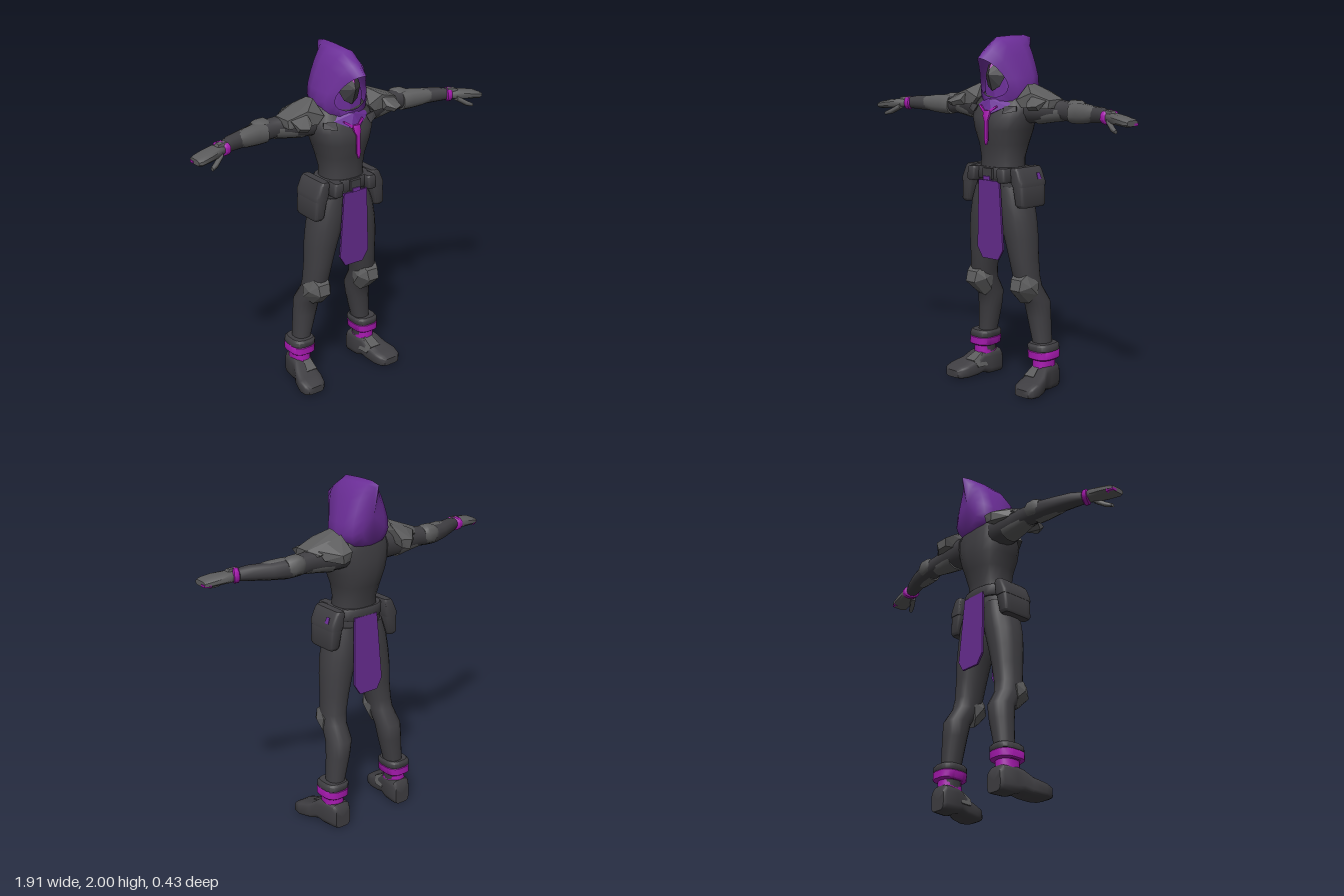
import * as THREE from 'three';
import { toCreasedNormals } from 'three/addons/utils/BufferGeometryUtils.js';
import { ConvexGeometry } from 'three/addons/geometries/ConvexGeometry.js';

const V = (x, y, z) => new THREE.Vector3(x, y, z);
const mat = (name, color, side = THREE.FrontSide) => {
  const m = new THREE.MeshStandardMaterial({ color, side });
  m.name = name;
  return m;
};

// Rounded-box or oval outline; p = 2 is an ellipse, larger is squarer
function outline(a, b, n, p) {
  return Array.from({ length: n }, (_, i) => {
    const t = ((i + 0.5) / n) * Math.PI * 2, c = Math.cos(t), s = Math.sin(t);
    return [a * Math.sign(c) * Math.abs(c) ** (2 / p), b * Math.sign(s) * Math.abs(s) ** (2 / p)];
  });
}
const ringY = (y, cx, cz, rx, rz, p = 2.3, n = 16) => outline(rx, rz, n, p).map(([a, b]) => V(cx + a, y, cz + b));
// The slant leans a ring across the arm
const ringX = (x, cy, cz, ry, rz, p = 2.3, slant = 0) => outline(ry, rz, 12, p).map(([a, b]) => V(x - b * slant, cy + a, cz + b));
const ringZ = (z, cx, cy, rx, ry, p = 4, n = 16) => outline(rx, ry, n, p).map(([a, b]) => V(cx + a, cy + b, z));

// Skin a row of rings, cap the ends and turn the faces outward
function loft(rings, s = 1, crease = 0.75, capStart = true) {
  const n = rings[0].length, pts = rings.flat().map((v) => V(v.x * s, v.y, v.z)), idx = [];
  for (let r = 0; r < rings.length - 1; r++) {
    for (let i = 0; i < n; i++) {
      const a = r * n + i, b = r * n + (i + 1) % n;
      idx.push(a, b, a + n, b, b + n, a + n);
    }
  }
  const cap = (start, flip) => {
    const c = pts.length, mid = V(0, 0, 0);
    for (let i = 0; i < n; i++) mid.addScaledVector(pts[start + i], 1 / n);
    pts.push(mid);
    for (let i = 0; i < n; i++) {
      const a = start + i, b = start + (i + 1) % n;
      if (flip) idx.push(b, a, c); else idx.push(a, b, c);
    }
  };
  const last = (rings.length - 1) * n;
  if (capStart) cap(0, true);
  cap(last, false);
  let volume = 0;
  const o = pts[last];
  for (let i = 0; i < idx.length; i += 3) {
    const [a, b, c] = [0, 1, 2].map((k) => pts[idx[i + k]].clone().sub(o));
    volume += a.dot(b.cross(c));
  }
  if (volume < 0) idx.reverse();
  const g = new THREE.BufferGeometry().setFromPoints(pts);
  g.setIndex(idx);
  return toCreasedNormals(g, crease);
}
const hull = (list, s = 1) => new ConvexGeometry(list.map(([x, y, z]) => V(x * s, y, z)));

export function createModel() {
  const model = new THREE.Group();
  const suit = mat('charcoal suit', 0x3f3e42);
  const armor = mat('grey armour', 0x5c5c5d);
  const cloth = mat('purple cloth', 0x6c2e98, THREE.DoubleSide);
  const panelCloth = mat('deep purple cloth', 0x662c8f);
  const band = mat('magenta band', 0xa519ae);
  const add = (name, geo, m, parent = model) => {
    const mesh = new THREE.Mesh(geo, m);
    mesh.name = name;
    parent.add(mesh);
    return mesh;
  };

  // Torso and hips
  add('torso', loft([
    [1.24, 0, 0.005, 0.13, 0.11], [1.32, 0, 0, 0.122, 0.11], [1.4, 0, -0.008, 0.138, 0.127],
    [1.48, 0, -0.008, 0.165, 0.147], [1.55, 0, -0.008, 0.186, 0.147], [1.62, 0, -0.025, 0.19, 0.125],
    [1.68, 0, -0.04, 0.15, 0.1], [1.73, 0, -0.04, 0.08, 0.08],
  ].map((r) => ringY(...r, 2.4, 20))), suit);
  add('hips', loft([
    [1.02, 0, 0, 0.04, 0.06], [1.08, 0, 0, 0.13, 0.1], [1.16, 0, 0.002, 0.165, 0.11], [1.25, 0, 0.005, 0.14, 0.112],
  ].map((r) => ringY(...r))), suit);
  add('belt', loft([1.205, 1.215, 1.265, 1.275].map((y, i) => {
    const e = i % 3 ? 0.006 : 0;
    return ringY(y, 0, 0.003, 0.15 + e, 0.116 + e, 2.6, 20);
  })), suit);
  add('buckle', new THREE.BoxGeometry(0.07, 0.06, 0.025), suit).position.set(0.005, 1.24, 0.126);
  add('buckleKnot', new THREE.BoxGeometry(0.05, 0.022, 0.02), cloth).position.set(0.005, 1.215, 0.135);

  // Long cloth panels, front and back
  const panel = (name, top, bottom, zTop, zBottom) => {
    const shape = new THREE.Shape([[-0.078, top], [-0.098, bottom + 0.06], [-0.06, bottom],
      [0.06, bottom], [0.098, bottom + 0.06], [0.078, top]].map(([x, y]) => new THREE.Vector2(x, y)));
    const g = new THREE.ExtrudeGeometry(shape, { depth: 0.012, bevelEnabled: false });
    const p = g.attributes.position;
    for (let i = 0; i < p.count; i++) {
      const t = (top - p.getY(i)) / (top - bottom);
      p.setXYZ(i, p.getX(i) + 0.01, p.getY(i), p.getZ(i) + zTop + (zBottom - zTop) * t);
    }
    g.computeVertexNormals();
    add(name, g, panelCloth);
  };
  panel('frontPanel', 1.2, 0.755, 0.118, 0.107);
  panel('backPanel', 1.23, 0.78, -0.119, -0.145);

  // Hood: half outlines from crown to chin, mirrored and rounded into rings from front to back
  const hoodRing = (half) => {
    const ring = [...half, ...half.slice(1, -1).reverse().map(([x, y, z]) => [-x, y, z])].map((q) => V(...q));
    return new THREE.CatmullRomCurve3(ring, true).getPoints(20).slice(0, 20);
  };
  add('hood', loft([
    [[0, 1.878, 0.21], [0.042, 1.855, 0.165], [0.083, 1.795, 0.11], [0.105, 1.725, 0.08], [0.08, 1.68, 0.085], [0, 1.66, 0.1]],
    [[0, 1.93, 0.14], [0.058, 1.9, 0.12], [0.107, 1.81, 0.07], [0.143, 1.72, 0.04], [0.115, 1.64, 0.06], [0, 1.6, 0.115]],
    [[0, 1.99, 0.06], [0.062, 1.945, 0.04], [0.114, 1.83, -0.01], [0.148, 1.705, -0.03], [0.13, 1.63, 0], [0, 1.6, 0.05]],
    [[0, 1.998, -0.07], [0.062, 1.945, -0.08], [0.114, 1.83, -0.09], [0.146, 1.71, -0.09], [0.11, 1.64, -0.08], [0, 1.61, -0.07]],
    [[0, 1.998, -0.16], [0.05, 1.945, -0.15], [0.1, 1.84, -0.148], [0.125, 1.715, -0.15], [0.095, 1.65, -0.135], [0, 1.62, -0.13]],
    [[0, 1.985, -0.217], [0.025, 1.935, -0.186], [0.055, 1.86, -0.177], [0.075, 1.74, -0.178], [0.05, 1.68, -0.168], [0, 1.66, -0.163]],
  ].map(hoodRing), 1, 1.5, false), cloth).position.x = 0.007;
  add('hoodLining', hull([-1, 1].flatMap((s) => [[s * 0.03, 1.85, 0.06], [s * 0.08, 1.79, 0.05], [s * 0.108, 1.725, 0.045],
    [s * 0.085, 1.67, 0.06], [0, 1.66, 0.08], [s * 0.06, 1.75, -0.04]])), cloth).position.x = 0.007;

  // Masked face, with a ridge down the middle
  add('mask', hull([
    [0, 1.862, 0.07], [0.055, 1.835, 0.07], [-0.055, 1.835, 0.07], [0.075, 1.78, 0.07], [-0.075, 1.78, 0.07],
    [0.045, 1.72, 0.085], [-0.045, 1.72, 0.085], [0, 1.695, 0.098], [0, 1.785, 0.13], [0, 1.835, 0.11], [0, 1.77, 0],
  ]), suit).position.x = 0.007;
  add('browMark', hull([[0, 1.862, 0.1], [0.018, 1.845, 0.095], [-0.018, 1.845, 0.095], [0, 1.815, 0.123], [0, 1.84, 0.08]]),
    band).position.x = 0.007;

  // Scarf over the chest, with its cord
  add('scarf', hull([
    [0.135, 1.66, 0.03], [-0.125, 1.66, 0.03], [0.115, 1.615, 0.09], [-0.105, 1.615, 0.09],
    [0.035, 1.575, 0.135], [-0.025, 1.575, 0.135], [0.005, 1.65, 0.115], [0, 1.62, 0], [0.005, 1.56, 0.12],
  ]), cloth);
  add('cord', loft([[1.4, 0.012, 0.152, 0.005, 0.006], [1.43, 0.012, 0.15, 0.013, 0.01], [1.53, 0.01, 0.149, 0.012, 0.01],
    [1.56, 0.007, 0.144, 0.024, 0.012], [1.59, 0.006, 0.134, 0.024, 0.012]].map((r) => ringY(...r, 3, 8))), band);

  for (const s of [1, -1]) {
    const side = new THREE.Group();
    side.name = s > 0 ? 'leftSide' : 'rightSide';
    model.add(side);
    const part = (name, rings, m, crease) => add(name, loft(rings, s, crease), m, side);
    const solid = (name, pts, m) => add(name, hull(pts, s), m, side);

    solid('collarStrap', [[0.012, 1.588, 0.138], [0.02, 1.575, 0.141], [0.065, 1.608, 0.126], [0.06, 1.618, 0.122],
      [0.02, 1.58, 0.12], [0.06, 1.612, 0.1]], band);
    solid('chestClasp', [[0.1, 1.615, 0.1], [0.17, 1.62, 0.08], [0.18, 1.59, 0.09], [0.11, 1.575, 0.13], [0.14, 1.6, 0.03]], suit);

    // Arm, guards and hand
    part('arm', [
      [0.13, 1.6, -0.05, 0.085, 0.085], [0.22, 1.6, -0.055, 0.08, 0.085], [0.3, 1.6, -0.06, 0.065, 0.07],
      [0.38, 1.6, -0.068, 0.054, 0.056], [0.44, 1.595, -0.07, 0.055, 0.056], [0.51, 1.59, -0.065, 0.053, 0.058],
      [0.6, 1.59, -0.045, 0.046, 0.052], [0.7, 1.593, -0.01, 0.041, 0.044], [0.76, 1.59, 0.015, 0.032, 0.036],
    ].map((r) => ringX(...r)), suit);
    part('upperArmGuard', [[0.23, 1.578, -0.06, 0.064, 0.07], [0.32, 1.582, -0.06, 0.053, 0.062],
      [0.4, 1.588, -0.065, 0.048, 0.05]].map((r) => ringX(...r)), armor);
    part('elbowGuard', [[0.42, 1.603, -0.08, 0.045, 0.045], [0.44, 1.605, -0.08, 0.055, 0.055],
      [0.49, 1.602, -0.08, 0.056, 0.056], [0.52, 1.6, -0.072, 0.045, 0.047]].map((r) => ringX(...r)), armor);
    part('forearmGuard', [[0.46, 1.588, -0.056, 0.054, 0.053], [0.52, 1.59, -0.052, 0.057, 0.055],
      [0.59, 1.592, -0.035, 0.05, 0.048], [0.65, 1.594, -0.018, 0.036, 0.036]].map((r) => ringX(...r)), armor);
    part('wristBand', [[0.748, 1.588, 0.012, 0.032, 0.036], [0.754, 1.588, 0.014, 0.04, 0.043],
      [0.776, 1.588, 0.018, 0.04, 0.043], [0.782, 1.588, 0.021, 0.032, 0.036]].map((r) => ringX(...r, 2.3, 0.5)), band);
    solid('wristPlate', [[0.735, 1.61, 0.01], [0.735, 1.61, 0.045], [0.75, 1.629, 0.014], [0.75, 1.626, 0.04],
      [0.8, 1.625, 0.018], [0.8, 1.622, 0.05], [0.82, 1.6, 0.015], [0.82, 1.6, 0.055]], armor);
    part('hand', [[0.76, 1.588, 0.018, 0.024, 0.034], [0.81, 1.585, 0.03, 0.028, 0.05], [0.87, 1.58, 0.047, 0.026, 0.056],
      [0.93, 1.572, 0.06, 0.022, 0.055], [0.95, 1.57, 0.062, 0.015, 0.046]].map((r) => ringX(...r, 3)), armor);
    solid('fingertipMark', [[0.915, 1.552, 0.008], [0.915, 1.552, 0.04], [0.952, 1.557, 0.02], [0.952, 1.557, 0.05],
      [0.953, 1.57, 0.018], [0.953, 1.57, 0.05], [0.92, 1.568, 0.002]], band);
    part('thumb', [[0.79, 1.57, 0.055, 0.016, 0.02], [0.84, 1.538, 0.085, 0.016, 0.018],
      [0.875, 1.525, 0.103, 0.01, 0.013]].map((r) => ringX(...r)), armor);

    // Shoulder plate with a drooping back flap and a front tab
    solid('shoulderPlate', [
      [0.185, 1.735, -0.06], [0.175, 1.735, -0.01], [0.15, 1.65, 0.06], [0.25, 1.7, -0.1], [0.375, 1.66, -0.07],
      [0.365, 1.655, 0.03], [0.25, 1.69, 0.05], [0.17, 1.69, -0.14], [0.37, 1.615, -0.09], [0.365, 1.61, 0.04], [0.19, 1.61, 0.06],
      [0.18, 1.63, -0.13], [0.33, 1.64, -0.13],
    ], armor);
    solid('shoulderBackFlap', [[0.17, 1.72, -0.1], [0.27, 1.69, -0.11], [0.33, 1.66, -0.11], [0.17, 1.65, -0.2],
      [0.24, 1.64, -0.21], [0.23, 1.59, -0.205], [0.18, 1.6, -0.195], [0.31, 1.61, -0.14], [0.18, 1.62, -0.11]], armor);
    solid('shoulderFrontTab', [[0.25, 1.685, 0.03], [0.35, 1.655, 0.03], [0.34, 1.625, 0.11], [0.29, 1.62, 0.128],
      [0.25, 1.635, 0.09], [0.25, 1.605, 0.06], [0.335, 1.6, 0.085], [0.29, 1.6, 0.11]], armor);

    // Hip pouch, its flap and a small belt pouch
    part('hipPouch', [[1.06, 0.208, 0, 0.026, 0.088], [1.075, 0.207, 0, 0.033, 0.098], [1.18, 0.193, 0, 0.04, 0.102],
      [1.27, 0.172, 0, 0.026, 0.1]].map((r) => ringY(...r, 6)), suit);
    part('hipPouchFlap', [[1.175, 0.194, 0, 0.041, 0.106], [1.2, 0.19, 0, 0.044, 0.107], [1.265, 0.172, 0, 0.032, 0.105],
      [1.28, 0.168, 0, 0.022, 0.1]].map((r) => ringY(...r, 6)), suit);
    if (s > 0) {
      solid('pouchStud', [[0.233, 1.212, -0.032], [0.233, 1.212, -0.063], [0.22, 1.248, -0.036], [0.22, 1.248, -0.06],
        [0.2, 1.23, -0.047]], cloth);
    }
    part('beltPouch', [[1.195, 0.115, 0.11, 0.024, 0.036], [1.205, 0.115, 0.11, 0.03, 0.042], [1.265, 0.11, 0.11, 0.03, 0.04],
      [1.275, 0.11, 0.11, 0.024, 0.034]].map((r) => ringY(...r, 5)), suit);

    // Leg
    part('leg', [
      [1.17, 0.085, 0, 0.075, 0.1], [1.08, 0.098, 0, 0.096, 0.108], [0.98, 0.115, 0, 0.1, 0.105], [0.88, 0.135, -0.004, 0.09, 0.098],
      [0.77, 0.15, -0.008, 0.077, 0.088], [0.66, 0.165, -0.014, 0.07, 0.08], [0.6, 0.172, -0.028, 0.066, 0.078],
      [0.51, 0.182, -0.085, 0.072, 0.074], [0.42, 0.192, -0.092, 0.067, 0.066], [0.27, 0.215, -0.095, 0.052, 0.056],
      [0.11, 0.23, -0.09, 0.052, 0.06],
    ].map((r) => ringY(...r)), suit);
    solid('kneePad', [
      [0.125, 0.678, 0.045], [0.22, 0.678, 0.045], [0.098, 0.61, 0.04], [0.246, 0.61, 0.035], [0.135, 0.65, 0.08], [0.21, 0.65, 0.08],
      [0.14, 0.59, 0.095], [0.208, 0.59, 0.095], [0.14, 0.5, 0.005], [0.2, 0.51, 0.003], [0.106, 0.54, -0.015], [0.246, 0.56, -0.02],
      [0.165, 0.54, 0.06], [0.104, 0.63, -0.025], [0.245, 0.635, -0.03],
    ], armor);

    // Ankle cuff and bands
    part('ankleCuff', [[0.225, 0.23, -0.09, 0.07, 0.08], [0.235, 0.23, -0.09, 0.077, 0.087], [0.26, 0.228, -0.09, 0.076, 0.086],
      [0.272, 0.227, -0.09, 0.066, 0.075]].map((r) => ringY(...r, 3)), suit);
    part('ankleBand', [[0.18, 0.232, -0.09, 0.068, 0.078], [0.188, 0.232, -0.09, 0.076, 0.088], [0.228, 0.23, -0.09, 0.077, 0.088],
      [0.236, 0.23, -0.09, 0.07, 0.08]].map((r) => ringY(...r, 3)), band);
    part('lowerAnkleBand', [[0.13, 0.232, -0.09, 0.057, 0.07], [0.18, 0.232, -0.09, 0.056, 0.066]].map((r) => ringY(...r)), band);

    // Boot: rings from heel to toe, given as length, centre, half width, bottom and top
    part('boot', [
      [-0.18, 0.225, 0.05, 0, 0.12], [-0.16, 0.226, 0.062, 0, 0.145], [-0.08, 0.235, 0.066, 0, 0.15], [-0.035, 0.245, 0.065, 0.014, 0.14],
      [0.01, 0.258, 0.073, 0.004, 0.105], [0.08, 0.272, 0.08, 0, 0.085], [0.125, 0.276, 0.07, 0.003, 0.07], [0.145, 0.276, 0.05, 0.01, 0.052],
    ].map(([z, cx, w, lo, hi]) => ringZ(z, cx, (lo + hi) / 2, w, (hi - lo) / 2, 4.5)), suit);
    solid('instepPlate', [[0.2, 0.14, -0.03], [0.25, 0.143, -0.03], [0.2, 0.1, 0.04], [0.27, 0.1, 0.04],
      [0.178, 0.06, 0.02], [0.172, 0.06, -0.05], [0.24, 0.05, 0.02]], armor);
  }
  return model;
}
